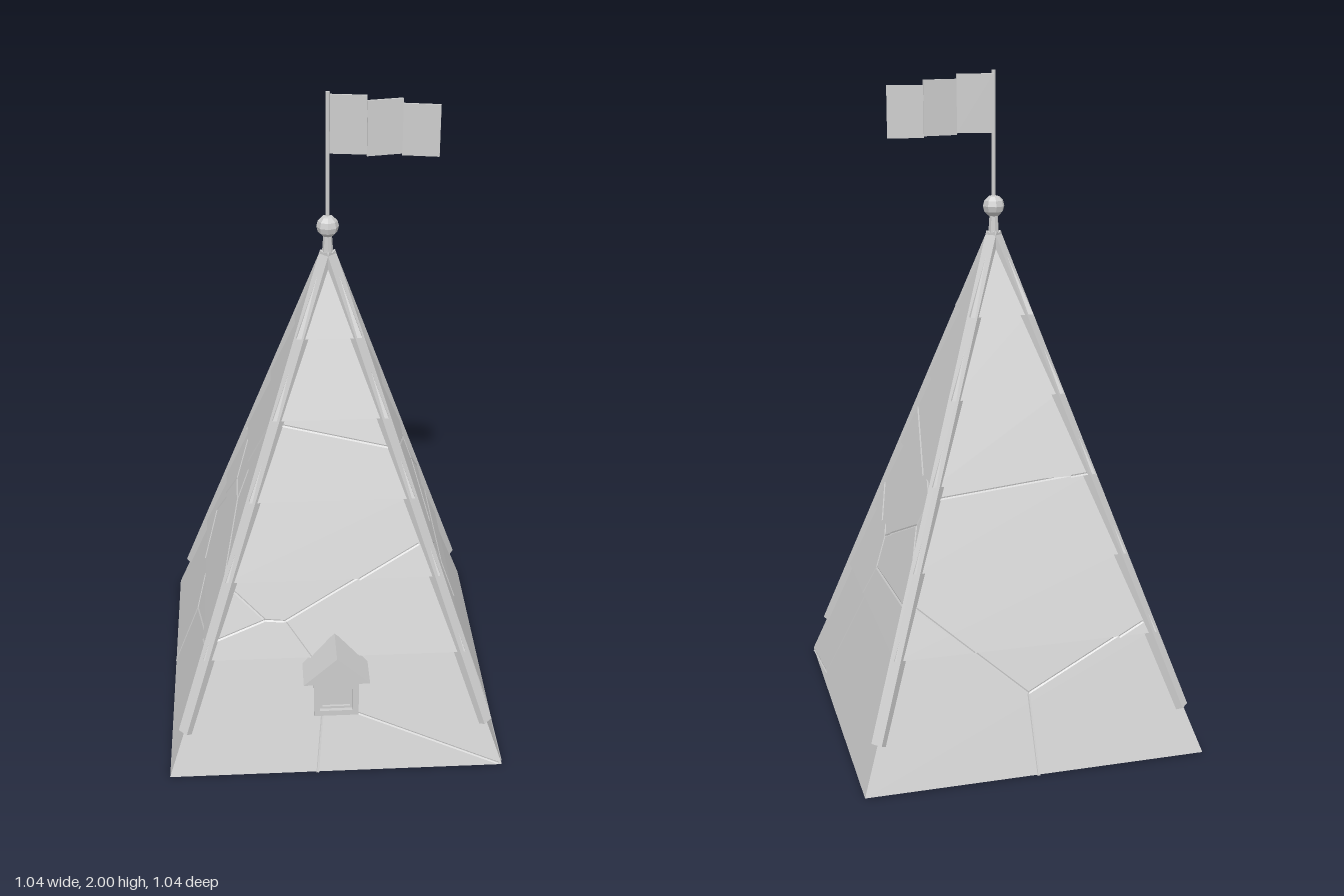
import * as THREE from 'three';
import { mergeGeometries } from 'three/addons/utils/BufferGeometryUtils.js';

const stone = new THREE.MeshStandardMaterial({ color: 0xcccccc, flatShading: true });
stone.name = 'light grey';

// Tier heights and the sloping profile shared by roof, cracks and beams
const LEVELS = [0, 0.36, 0.592, 0.825, 1.06, 1.29, 1.535];
const line = (y) => 0.516 - 0.328 * y;
const tiers = LEVELS.slice(0, -1).map((y0, i) => {
  const y1 = LEVELS[i + 1];
  return { y0, y1, w0: line(y0) + (i ? 0.004 : 0), w1: line(y1) - 0.008 };
});

function add(parent, name, geometry, x = 0, y = 0, z = 0) {
  const mesh = new THREE.Mesh(geometry, stone);
  mesh.name = name;
  mesh.position.set(x, y, z);
  parent.add(mesh);
  return mesh;
}

function quad(points) {
  const g = new THREE.BufferGeometry();
  g.setAttribute('position', new THREE.Float32BufferAttribute(points.flat(), 3));
  g.setIndex([0, 1, 2, 0, 2, 3]);
  g.computeVertexNormals();
  return g;
}

// Shallow V groove from a to b; map places (across, along, lift) on a surface
function groove(a, b, map, half = 0.004) {
  const d = Math.hypot(b[0] - a[0], b[1] - a[1]);
  const nx = (-(b[1] - a[1]) / d) * half, ny = ((b[0] - a[0]) / d) * half;
  const at = (p, s) => map(p[0] + s * nx, p[1] + s * ny, s ? 0.003 : 0.0005);
  return [
    quad([at(a, -1), at(b, -1), at(b, 0), at(a, 0)]),
    quad([at(a, 0), at(b, 0), at(b, 1), at(a, 1)]),
  ];
}

// Splits a crack path at the tier steps so that each piece lies on its tier
function crackGeometry(paths) {
  const parts = [];
  for (const path of paths) {
    for (let i = 0; i + 1 < path.length; i++) {
      const [a, b] = path[i][1] < path[i + 1][1] ? [path[i], path[i + 1]] : [path[i + 1], path[i]];
      for (const t of tiers) {
        const lo = Math.max(a[1], t.y0), hi = Math.min(b[1], t.y1);
        if (hi - lo < 1e-4) continue;
        const at = (y) => [a[0] + ((b[0] - a[0]) * (y - a[1])) / (b[1] - a[1]), y];
        const map = (u, y, lift) => [u, Math.max(y, 0),
          t.w0 + ((t.w1 - t.w0) * (y - t.y0)) / (t.y1 - t.y0) + lift];
        parts.push(...groove(at(lo), at(hi), map));
      }
    }
  }
  return mergeGeometries(parts);
}

// Cracks per face as (across, height), seen facing that side
const CRACKS = {
  front: { turn: 0, paths: [
    [[-0.15, 1.045], [0.17, 0.975]],
    [[0.26, 0.69], [-0.15, 0.47], [-0.21, 0.475], [-0.30, 0.56]],
    [[-0.21, 0.475], [-0.36, 0.42]],
    [[-0.15, 0.47], [-0.05, 0.33]],
    [[-0.01, 0.21], [0.505, 0.008]],
    [[-0.04, 0.2], [-0.06, 0]],
  ] },
  right: { turn: Math.PI / 2, paths: [
    [[-0.17, 0.955], [0.23, 0.78], [0.2, 0.695], [0.29, 0.61]],
    [[0.2, 0.695], [-0.1, 0.555], [-0.27, 0.68]],
    [[-0.1, 0.555], [-0.07, 0.465], [0.33, 0.49]],
    [[-0.07, 0.465], [-0.26, 0.03], [-0.5, 0.005]],
  ] },
  back: { turn: Math.PI, paths: [
    [[0, 0], [-0.01, 0.23], [0.36, 0.395]],
    [[-0.01, 0.23], [-0.33, 0.5]],
    [[-0.235, 0.79], [0.23, 0.83]],
  ] },
  left: { turn: -Math.PI / 2, paths: [
    [[-0.05, 0], [-0.02, 0.25], [-0.27, 0.47], [-0.1, 0.7], [-0.2, 0.83]],
    [[-0.1, 0.7], [0.03, 0.702], [0.28, 0.59]],
    [[-0.02, 0.25], [0.36, 0.385]],
    [[0.03, 0.702], [0.01, 0.82], [0.14, 1.08]],
  ] },
};

const FLOOR_CRACKS = [
  [[0, -0.51], [0, 0], [0.505, 0.505]],
  [[0, 0], [-0.06, 0.09], [-0.06, 0.51]],
  [[-0.06, 0.09], [-0.51, -0.05]],
];

function createRoof() {
  const roof = new THREE.Group();
  roof.name = 'tieredRoof';
  tiers.forEach((t, i) => {
    const y0 = i ? t.y0 : 0.003;
    const g = new THREE.CylinderGeometry(t.w1 * Math.SQRT2, t.w0 * Math.SQRT2, t.y1 - y0, 4);
    g.rotateY(Math.PI / 4);
    add(roof, `roofTier${i + 1}`, g, 0, (y0 + t.y1) / 2, 0);
  });
  for (const [side, { turn, paths }] of Object.entries(CRACKS)) {
    add(roof, `${side}Cracks`, crackGeometry(paths)).rotation.y = turn;
  }
  const floor = FLOOR_CRACKS.flatMap((p) =>
    p.slice(1).flatMap((b, i) => groove(p[i], b, (x, z, lift) => [x, 0.003 - lift, z])));
  add(roof, 'floorCracks', mergeGeometries(floor));
  return roof;
}

// Beams that cover the four ridges, sinking slightly inward at the top
function createBeams() {
  const beams = new THREE.Group();
  beams.name = 'ridgeBeams';
  const low = new THREE.Vector3(0, 0.14, line(0.14) * Math.SQRT2);
  const high = new THREE.Vector3(0, 1.53, line(1.53) * Math.SQRT2 - 0.01);
  const length = low.distanceTo(high);
  const tilt = Math.atan2(low.z - high.z, high.y - low.y);
  for (let i = 0; i < 4; i++) {
    const arm = new THREE.Group();
    arm.name = `ridgeBeam${i + 1}`;
    arm.rotation.y = Math.PI / 4 + (i * Math.PI) / 2;
    const g = new THREE.BoxGeometry(0.036, length, 0.032);
    g.translate(0, 0, -0.013);
    const beam = add(arm, 'beam', g);
    beam.position.copy(low).lerp(high, 0.5);
    beam.rotation.x = -tilt;
    beams.add(arm);
  }
  return beams;
}

// Little gabled dormer with a framed window
function createDormer() {
  const dormer = new THREE.Group();
  dormer.name = 'dormer';
  const rect = (P, x, y0, y1) => {
    const p = new P();
    p.moveTo(-x, y0); p.lineTo(x, y0); p.lineTo(x, y1); p.lineTo(-x, y1); p.closePath();
    return p;
  };
  add(dormer, 'dormerBody', new THREE.BoxGeometry(0.122, 0.14, 0.12), 0, 0.27, 0.405);
  const frame = rect(THREE.Shape, 0.068, 0.197, 0.338);
  frame.holes.push(rect(THREE.Path, 0.05, 0.216, 0.322));
  add(dormer, 'windowFrame',
    new THREE.ExtrudeGeometry(frame, { depth: 0.025, bevelEnabled: false }), 0, 0, 0.458);
  const inner = rect(THREE.Shape, 0.05, 0.216, 0.322);
  inner.holes.push(rect(THREE.Path, 0.042, 0.224, 0.314));
  add(dormer, 'innerFrame',
    new THREE.ExtrudeGeometry(inner, { depth: 0.008, bevelEnabled: false }), 0, 0, 0.464);
  const gable = new THREE.Shape([
    new THREE.Vector2(-0.1, 0.335), new THREE.Vector2(0.1, 0.335), new THREE.Vector2(0, 0.43)]);
  add(dormer, 'dormerRoof',
    new THREE.ExtrudeGeometry(gable, { depth: 0.125, bevelEnabled: false }), 0, 0, 0.38);
  return dormer;
}

// Finial, pole and a stepped three-panel flag
function createFlag() {
  const top = new THREE.Group();
  top.name = 'flagAndFinial';
  add(top, 'finialNeck', new THREE.CylinderGeometry(0.012, 0.018, 0.09, 8), 0, 1.545, 0);
  add(top, 'finialBall', new THREE.SphereGeometry(0.033, 8, 6), 0, 1.605, 0);
  add(top, 'flagPole', new THREE.CylinderGeometry(0.006, 0.006, 0.4, 8), 0, 1.8, 0);
  const panels = [ // x0, z0, x1, z1, bottom, top
    [0.003, -0.009, 0.11, 0.006, 1.82, 1.99],
    [0.11, 0.006, 0.212, -0.012, 1.815, 1.975],
    [0.212, -0.012, 0.316, 0.007, 1.81, 1.96],
  ];
  panels.forEach(([x0, z0, x1, z1, y0, y1], i) => {
    const g = new THREE.BoxGeometry(Math.hypot(x1 - x0, z1 - z0), y1 - y0, 0.007);
    const panel = add(top, `flagPanel${i + 1}`, g,
      (x0 + x1) / 2, (y0 + y1) / 2, (z0 + z1) / 2);
    panel.rotation.y = -Math.atan2(z1 - z0, x1 - x0);
  });
  return top;
}

export function createModel() {
  const model = new THREE.Group();
  model.name = 'towerRoof';
  model.add(createRoof(), createBeams(), createDormer(), createFlag());
  return model;
}
